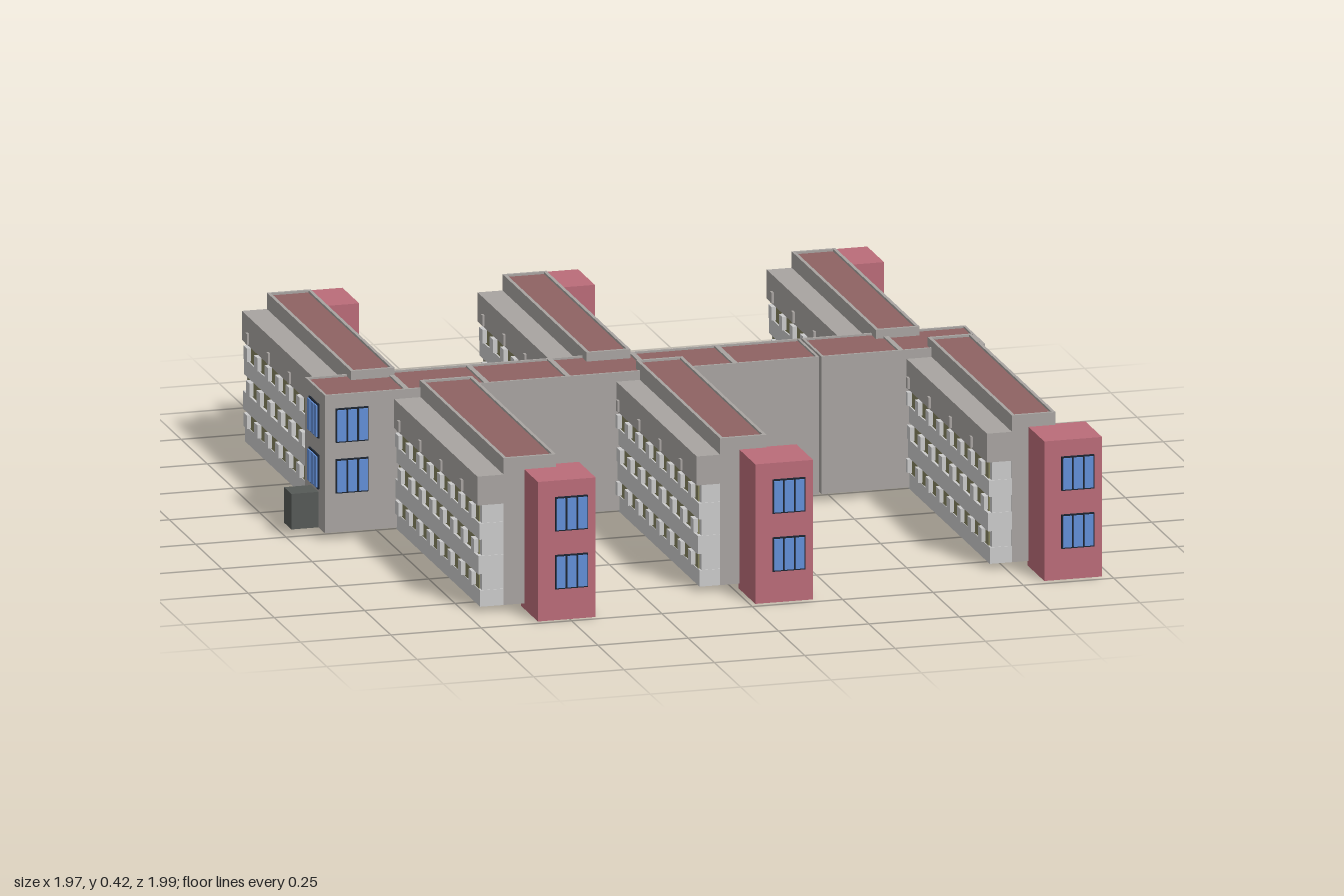
import * as THREE from 'three';

const mat = (color, flatShading = true) => new THREE.MeshStandardMaterial({ color, flatShading });
const M = {
  wall: mat(0xa8a4a1), light: mat(0xcccccc), roof: mat(0x8e6262), tower: mat(0xba6c79),
  glass: mat(0x628fd8), frame: mat(0x1c2430), olive: mat(0x85835f), dark: mat(0x565a57),
};

// Box given by its minimum and maximum corners
function block(parent, name, material, x0, x1, y0, y1, z0, z1) {
  const mesh = new THREE.Mesh(new THREE.BoxGeometry(x1 - x0, y1 - y0, z1 - z0), material);
  mesh.position.set((x0 + x1) / 2, (y0 + y1) / 2, (z0 + z1) / 2);
  mesh.name = name;
  parent.add(mesh);
  return mesh;
}

// Thin raised rim around a flat roof
function parapet(parent, x0, x1, y0, y1, z0, z1, t) {
  block(parent, 'parapet', M.wall, x0, x0 + t, y0, y1, z0, z1);
  block(parent, 'parapet', M.wall, x1 - t, x1, y0, y1, z0, z1);
  block(parent, 'parapet', M.wall, x0 + t, x1 - t, y0, y1, z0, z0 + t);
  block(parent, 'parapet', M.wall, x0 + t, x1 - t, y0, y1, z1 - t, z1);
}

// Framed window facing +z, turned to the wall it sits on
function addWindow(parent, x, y, z, turn, panes = 3) {
  const g = new THREE.Group();
  g.name = 'window';
  const w = 0.09, h = 0.094, pw = w / panes;
  block(g, 'windowFrame', M.frame, -w / 2, w / 2, -h / 2, h / 2, -0.004, 0.005);
  for (let i = 0; i < panes; i++) {
    const a = -w / 2 + i * pw;
    block(g, 'windowPane', M.glass, a + 0.003, a + pw - 0.003, -h / 2 + 0.004, h / 2 - 0.004, 0, 0.009);
  }
  g.position.set(x, y, z);
  g.rotation.y = turn;
  parent.add(g);
}

// Stair tower, windows on its outer end and on the +x side
function makeTower(cx, cz, end) {
  const g = new THREE.Group();
  g.name = 'stairTower';
  const r = 0.08;
  block(g, 'towerBody', M.tower, cx - r, cx + r, 0, 0.385, cz - r, cz + r);
  for (const y of [0.133, 0.293]) {
    addWindow(g, cx + 0.012, y, cz + end * r, end > 0 ? 0 : Math.PI);
    addWindow(g, cx + r, y, cz - 0.005, Math.PI / 2, 2);
  }
  return g;
}

// Long wing: tall roofed body with a lower windowed strip along its -x side
function makeWing(x0, x1, z0, z1, step) {
  const g = new THREE.Group();
  g.name = 'wing';
  const xs = x0 + step;
  block(g, 'wingBody', M.wall, xs, x1, 0.015, 0.408, z0, z1);
  block(g, 'wingRoof', M.roof, xs + 0.008, x1 - 0.008, 0.4, 0.414, z0 + 0.008, z1 - 0.008);
  parapet(g, xs, x1, 0.4, 0.42, z0, z1, 0.009);
  block(g, 'sideLedge', M.wall, x0, xs, 0.295, 0.375, z0, z1);
  block(g, 'facadeCore', M.light, x0 + 0.014, xs, 0.015, 0.295, z0 + 0.002, z1 - 0.002);
  // Floor bands and the window strips between them
  for (const [a, b, out] of [[0.015, 0.06, 0.008], [0.105, 0.155, 0.003], [0.2, 0.245, 0.006]])
    block(g, 'floorBand', M.light, x0 + out, xs, a, b, z0, z1);
  const n = 8, pitch = (z1 - z0) / n;
  [0.06, 0.155, 0.245].forEach((y, row) => {
    block(g, 'windowStrip', M.olive, x0 + 0.01, xs, y, y + 0.045, z0 + 0.02, z1 - 0.02);
    for (let i = 0; i < n; i++) {
      const c = z0 + (i + 0.5 + (row % 2 ? 0.12 : -0.12)) * pitch;
      block(g, 'windowBay', M.light, x0 - 0.002, xs, y + 0.004, y + 0.041, c - 0.016, c + 0.016);
    }
  });
  // Small brackets on the ledge
  for (let i = 0; i < 4; i++) {
    const c = z0 + 0.06 + i * 0.2;
    block(g, 'ledgeBracket', M.wall, x0 - 0.006, x0 + 0.002, 0.3, 0.33, c - 0.008, c + 0.008);
  }
  return g;
}

// Connecting spine made of roofed modules
function makeSpine() {
  const g = new THREE.Group();
  g.name = 'spine';
  const cuts = [-0.91, -0.682, -0.46, -0.235, -0.008, 0.227, 0.461, 0.685, 0.917];
  for (let i = 0; i < cuts.length - 1; i++) {
    const gap = 0.003;
    const a = cuts[i] + (i === 6 ? gap : 0), b = cuts[i + 1] - (i === 5 ? gap : 0);
    block(g, 'spineBody', M.wall, a, b, 0.02, 0.388, -0.128, 0.06);
    block(g, 'spineRoof', M.roof, a + 0.005, b - 0.005, 0.38, 0.395, -0.12, 0.052);
    parapet(g, a, b, 0.38, 0.4, -0.128, 0.06, 0.007);
  }
  for (const y of [0.175, 0.315]) {
    addWindow(g, -0.835, y, 0.06, 0);
    addWindow(g, -0.91, y, -0.035, -Math.PI / 2);
  }
  block(g, 'entrancePorch', M.dark, -0.985, -0.91, 0.02, 0.118, -0.07, 0);
  return g;
}

export function createModel() {
  const model = new THREE.Group();
  model.name = 'wingedBuilding';
  model.add(makeSpine());
  // Rear wings
  for (const x of [-0.865, -0.213, 0.587]) {
    model.add(makeWing(x, x + 0.19, -0.885, -0.083, 0.069));
    model.add(makeTower(x + 0.23, -0.915, -1));
  }
  // Front wings
  for (const [x0, x1, z0, z1, step, tx, tz] of [
    [-0.718, -0.5, 0.052, 0.852, 0.073, -0.508, 0.902],
    [-0.103, 0.09, 0.022, 0.825, 0.065, 0.095, 0.897],
    [0.7, 0.89, 0.022, 0.825, 0.069, 0.895, 0.895],
  ]) {
    model.add(makeWing(x0, x1, z0, z1, step));
    model.add(makeTower(tx, tz, 1));
  }
  return model;
}
